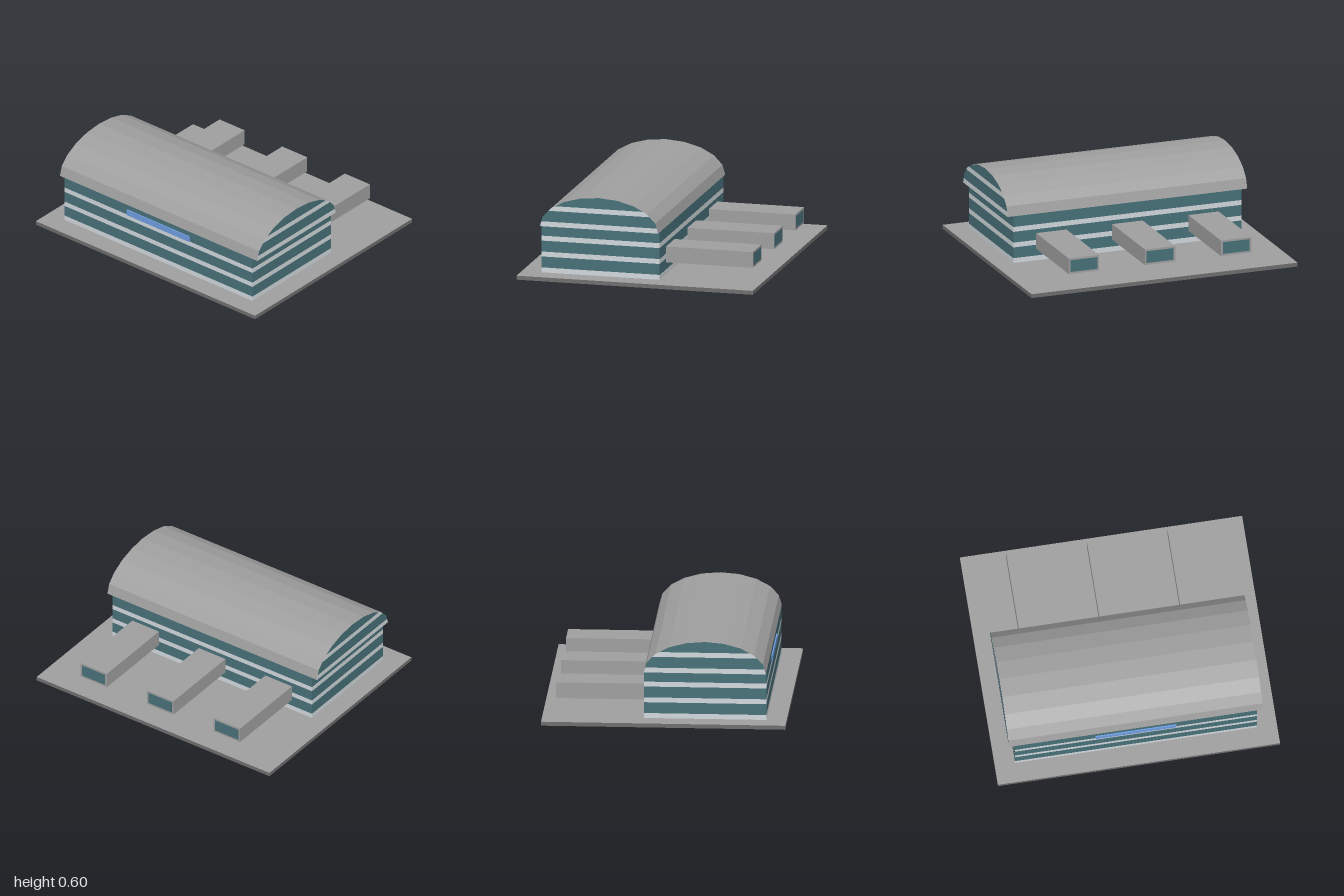
import * as THREE from 'three';

const mat = (name, color, side = THREE.FrontSide) =>
  Object.assign(new THREE.MeshStandardMaterial({ color, side }), { name });

export function createModel() {
  const group = new THREE.Group();
  const grey = mat('concreteGrey', 0x9f9f9f, THREE.DoubleSide);
  const darkGrey = mat('slabEdgeGrey', 0x6e6e6e, THREE.DoubleSide);
  const teal = mat('glassTeal', 0x477078);
  const pale = mat('floorBandPale', 0xd0d7db);
  const blue = mat('signBlue', 0x6f9de0);

  const add = (name, geometry, material) => {
    const mesh = new THREE.Mesh(geometry, material);
    mesh.name = name;
    group.add(mesh);
    return mesh;
  };
  // Box given by its lower and upper limits on each axis
  const box = (name, [x0, x1], [y0, y1], [z0, z1], material) => {
    const mesh = add(name, new THREE.BoxGeometry(x1 - x0, y1 - y0, z1 - z0), material);
    mesh.position.set((x0 + x1) / 2, (y0 + y1) / 2, (z0 + z1) / 2);
    return mesh;
  };
  // Box without its bottom face, and without its top face unless it has a lid
  const openBox = (name, xs, ys, zs, material, lid = false) => {
    const { geometry } = box(name, xs, ys, zs, material);
    const index = Array.from(geometry.index.array);
    geometry.setIndex([...index.slice(0, lid ? 18 : 12), ...index.slice(24)]);
    geometry.clearGroups();
  };

  const u = 1 / 35; // planning module: the slab is 70 by 60 modules
  const slabTop = u, storey = 4 * u, eaves = slabTop + 3 * storey, rise = 8 * u;
  const back = -5 * u, front = 25 * u, halfDepth = 15 * u, midZ = 10 * u;
  const hallX = 30 * u, roofX = 31.5 * u;

  // Ground slab: a paved sheet on a dark rim, hollow below
  openBox('slabRim', [-1, 1], [0, slabTop], [-30 * u, 30 * u], darkGrey);
  const paving = new THREE.PlaneGeometry(2, 60 * u).rotateX(-Math.PI / 2);
  add('slabPaving', paving, grey).position.y = slabTop;

  // Hall walls: rings of pale floor bands and teal window bands
  for (let i = 0; i < 3; i++) {
    const y = slabTop + i * storey, sill = y + 1.25 * u;
    openBox('floorBand', [-hallX, hallX], [y, sill], [back, front], pale);
    openBox('windowBand', [-hallX, hallX], [sill, y + storey], [back, front], teal);
  }

  // Ten-sided elliptical barrel roof with a flat underside
  const vault = new THREE.CylinderGeometry(1, 1, 2 * roofX, 10, 1, true, 0, Math.PI)
    .rotateZ(Math.PI / 2).scale(1, rise, halfDepth).toNonIndexed();
  vault.computeVertexNormals();
  add('barrelRoof', vault, grey).position.set(0, eaves, midZ);
  const soffit = new THREE.PlaneGeometry(2 * roofX, 2 * halfDepth).rotateX(Math.PI / 2);
  add('roofSoffit', soffit, grey).position.set(0, eaves, midZ);

  // Half of the arch outline, from eaves to ridge, and its half width at a height
  const arch = [];
  for (let i = 0; i <= 5; i++) {
    const a = (i * Math.PI) / 10;
    arch.push(new THREE.Vector2(halfDepth * Math.cos(a), rise * Math.sin(a)));
  }
  const halfWidth = (y) => {
    const i = Math.max(1, arch.findIndex((p) => p.y >= y - 1e-6));
    const p = arch[i - 1], q = arch[i];
    return p.x + ((q.x - p.x) * (y - p.y)) / (q.y - p.y);
  };

  // Striped gable ends, one flat slice for each band
  const gableBand = (name, y0, y1, material) => {
    const edge = [
      new THREE.Vector2(halfWidth(y0), y0),
      ...arch.filter((p) => p.y > y0 + 1e-4 && p.y < y1 - 1e-4),
      new THREE.Vector2(Math.max(halfWidth(y1), 0.0005), y1),
    ];
    const mirrored = edge.map((p) => new THREE.Vector2(-p.x, p.y)).reverse();
    for (const side of [-1, 1]) {
      const slice = new THREE.ShapeGeometry(new THREE.Shape([...edge, ...mirrored]));
      add(name, slice.rotateY((side * Math.PI) / 2), material).position.set(side * roofX, eaves, midZ);
    }
  };
  for (let i = 0; i < 2; i++) {
    const y = i * storey;
    gableBand('gableFloorBand', y, y + 1.25 * u, pale);
    gableBand('gableWindowBand', y + 1.25 * u, y + storey, teal);
  }

  // Front sign panel
  box('signPanel', [-10 * u, 10 * u], [10.25 * u, 11.75 * u], [front, front + 0.3 * u], blue);

  // Three boarding bridges at the back, open below, each with a glazed end
  for (const x of [-20 * u, 0, 20 * u]) {
    openBox('boardingBridge', [x - 4 * u, x + 4 * u], [4 * u, 8 * u], [-27 * u, back], grey, true);
    box('bridgeEndWindow', [x - 3.5 * u, x + 3.5 * u], [4.5 * u, 7.5 * u], [-27 * u - 0.001, -27 * u], teal);
  }
  return group;
}
